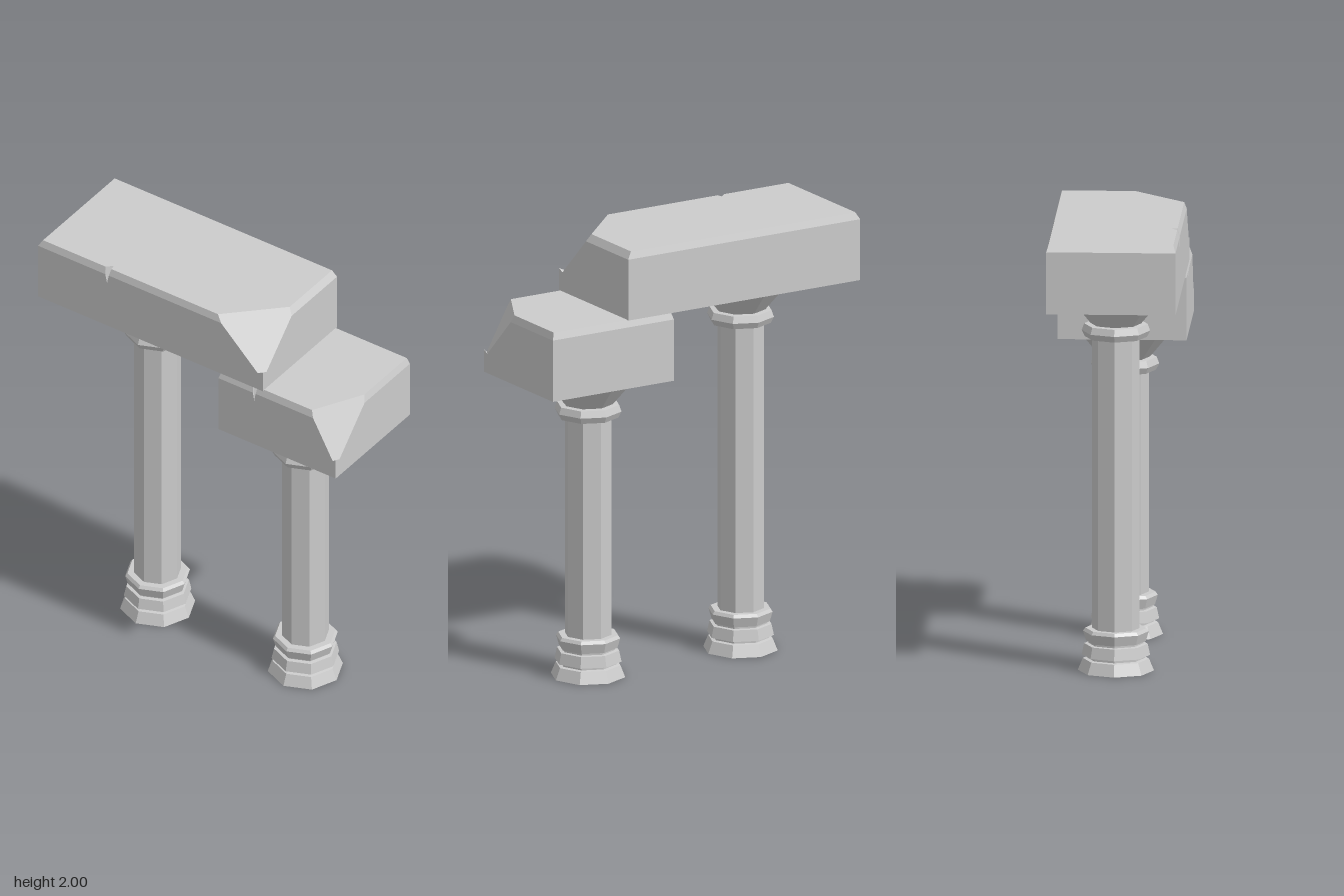
import * as THREE from 'three';

const D = 0.285; // half depth of the stone blocks
const stone = () => new THREE.MeshStandardMaterial({ color: 0xcccccc, flatShading: true });
const v = (x, y, z) => new THREE.Vector3(x, y, z);

// Solid from outward-facing polygons (corners counter-clockwise, concave allowed)
function polyhedron(faces) {
  const pos = [];
  for (const f of faces) {
    const n = v(0, 0, 0);
    f.forEach((p, i) => n.add(p.clone().cross(f[(i + 1) % f.length])));
    n.normalize();
    const a = [Math.abs(n.x), Math.abs(n.y), Math.abs(n.z)];
    const k = a.indexOf(Math.max(...a));
    const flat = f.map(p => {
      const c = p.toArray();
      return new THREE.Vector2(c[(k + 1) % 3], c[(k + 2) % 3]);
    });
    for (const [i, j, l] of THREE.ShapeUtils.triangulateShape(flat, [])) {
      const t = [f[i], f[j], f[l]];
      const tn = t[1].clone().sub(t[0]).cross(t[2].clone().sub(t[0]));
      if (tn.dot(n) < 0) t.reverse();
      t.forEach(p => pos.push(p.x, p.y, p.z));
    }
  }
  const g = new THREE.BufferGeometry();
  g.setAttribute('position', new THREE.Float32BufferAttribute(pos, 3));
  g.computeVertexNormals();
  return g;
}

// Stone block: bevelled top, broken front corner, small wedge crack
function block(name, { x0, x1, y0, y1, bx, cutX, cutZ, foot, crack }) {
  const bz = 0.01, yh = y1 - 0.033, zi = D - bz;

  // plane of the broken corner
  const F = v(foot[0], foot[1], D);
  const plane = new THREE.Plane().setFromCoplanarPoints(F, v(x1, y1, cutZ), v(cutX, y1, D));
  const { x: nx, y: ny, z: nz } = plane.normal, c = plane.constant;
  const onX = (y, z) => v(-(c + ny * y + nz * z) / nx, y, z);
  const onZ = (x, y) => v(x, y, -(c + nx * x + ny * y) / nz);
  const S = onZ(x1, foot[1]), K = v(x1, foot[1] + 0.013, D);
  const SF = onX(yh, D), SR = onZ(x1, yh), TF = onX(y1, zi), TR = onZ(x1 - bx, y1);

  // box corners: base, shoulder, top
  const A = v(x0, y0, -D), B = v(x1, y0, -D), C = v(x1, y0, D), E = v(x0, y0, D);
  const LF = v(x0, yh, D), LB = v(x0, yh, -D), RB = v(x1, yh, -D);
  const tLF = v(x0 + bx, y1, zi), tLB = v(x0 + bx, y1, -zi), tRB = v(x1 - bx, y1, -zi);

  // crack
  const { l, r, tip, deep } = crack, m = (l + r) / 2;
  const T = v(m, tip, D), apex = v(r - 0.004, y1, D - deep);
  const nL = v(l + (m - l) * 0.4, yh, D), nR = v(r - (r - m) * 0.4, yh, D);
  const tL = v(l, y1, zi), tR = v(r, y1, zi);

  const mesh = new THREE.Mesh(polyhedron([
    [A, B, C, E],                                // underside
    [B, A, LB, RB],                              // back
    [A, E, LF, LB],                              // right-hand end
    [C, B, RB, SR, S, K],                        // left-hand end
    [E, C, K, F, SF, nR, T, nL, LF],             // front
    [F, S, SR, TR, TF, SF], [F, K, S],           // broken corner and its lip
    [LB, LF, tLF, tLB], [RB, LB, tLB, tRB], [SR, RB, tRB, TR], // bevels
    [LF, nL, tL, tLF], [nR, SF, TF, tR],         // front bevel beside the crack
    [tLF, tL, apex, tR, TF, TR, tRB, tLB],       // top
    [T, apex, tL, nL], [T, nR, tR, apex],        // crack walls
  ]), stone());
  mesh.name = name;
  return mesh;
}

// Octagonal column; h is the height of the top of the shaft
function column(name, x, h) {
  const group = new THREE.Group();
  group.name = name;
  const part = (label, profile) => {
    const pts = profile.map(([r, y]) => new THREE.Vector2(r, y));
    const mesh = new THREE.Mesh(new THREE.LatheGeometry(pts, 8), stone());
    mesh.name = label;
    group.add(mesh);
  };
  part('base', [[0, 0], [0.168, 0], [0.146, 0.053], [0.128, 0.056], [0.128, 0.066],
    [0.151, 0.07], [0.14, 0.12], [0.122, 0.122], [0.122, 0.13], [0.132, 0.132],
    [0.145, 0.176], [0.135, 0.19], [0.1, 0.19]]);
  part('shaft', [[0.105, 0.185], [0.105, h + 0.01]]);
  part('capital', [[0.1, h], [0.137, h], [0.151, h + 0.028], [0.14, h + 0.058],
    [0.112, h + 0.06], [0.205, h + 0.172], [0, h + 0.172]]);
  group.position.x = x;
  return group;
}

export function createModel() {
  const model = new THREE.Group();
  model.name = 'brokenColonnade';
  model.add(
    column('tallColumn', -0.357, 1.5),
    column('shortColumn', 0.437, 1.188),
    block('upperBlock', {
      x0: -0.8, x1: 0.408, y0: 1.688, y1: 2, bx: 0.02, cutX: 0.15, cutZ: 0.03,
      foot: [0.38, 1.777], crack: { l: -0.445, r: -0.413, tip: 1.922, deep: 0.035 },
    }),
    block('lowerBlock', {
      x0: 0.17, x1: 0.8, y0: 1.376, y1: 1.69, bx: 0.01, cutX: 0.66, cutZ: 0.03,
      foot: [0.784, 1.465], crack: { l: 0.35, r: 0.374, tip: 1.615, deep: 0.025 },
    }),
  );
  return model;
}
